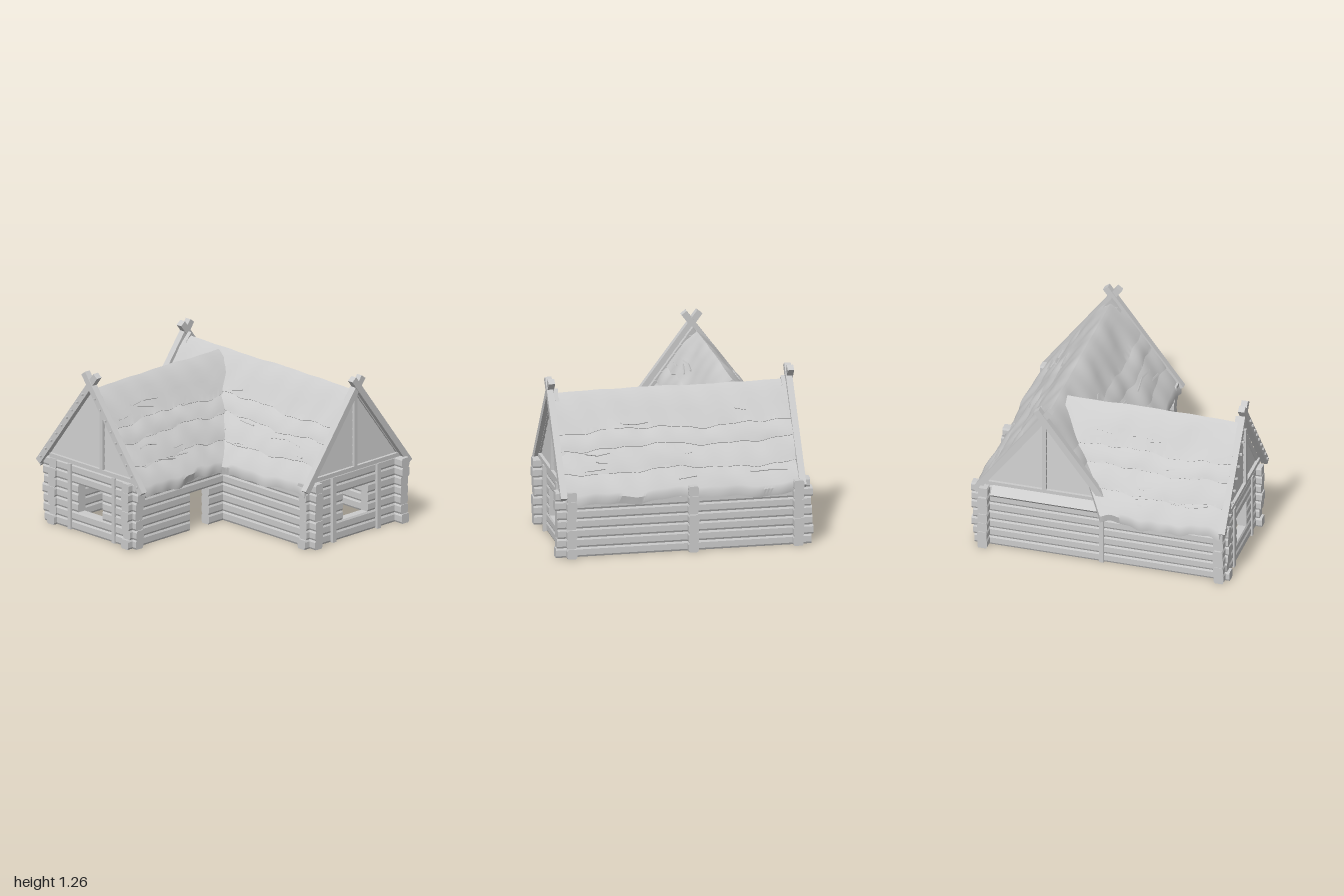
import * as THREE from 'three';
import { toCreasedNormals } from 'three/addons/utils/BufferGeometryUtils.js';

const mat = new THREE.MeshStandardMaterial({ color: 0xcccccc });
const matTwo = new THREE.MeshStandardMaterial({ color: 0xcccccc, side: THREE.DoubleSide });

let seed = 7;
const rnd = () => (seed = (seed * 16807) % 2147483647) / 2147483647;
const wave = (u, k) => 0.5 * Math.sin(u * 6.1 + k * 2.3) + 0.3 * Math.sin(u * 13.7 + k * 4.1) + 0.2 * Math.sin(u * 29 + k * 1.7);

function box(parent, name, w, h, d, x, y, z, rz = 0) {
  const m = new THREE.Mesh(new THREE.BoxGeometry(w, h, d), mat);
  m.name = name;
  m.position.set(x, y, z);
  m.rotation.z = rz;
  parent.add(m);
  return m;
}

// Chamfered log running along +z from z0 to z1
const COURSES = 7, LOG = 0.5 / COURSES;
function logGeometry(z0, z1) {
  const a = 0.037, b = LOG / 2, c = 0.007, d = 0.014;
  const s = new THREE.Shape([[-a, -b + d], [-a + c, -b], [a - c, -b], [a, -b + d], [a, b - d], [a - c, b], [-a + c, b], [-a, b - d]]
    .map(p => new THREE.Vector2(...p)));
  return new THREE.ExtrudeGeometry(s, { depth: z1 - z0, bevelEnabled: false }).translate(0, 0, z0);
}

// Stack of logs along z (or along x); each opening is {a, b, from, to} with from/to as courses
function logWall(name, alongX, at, start, end, openings = []) {
  const g = new THREE.Group();
  g.name = name;
  for (let i = 0; i < COURSES; i++) {
    const cuts = openings.filter(o => i >= o.from && i < o.to).flatMap(o => [o.a, o.b]);
    const ends = [start - 0.03 * rnd(), ...cuts, end + 0.03 * rnd()];
    for (let k = 0; k < ends.length; k += 2) {
      const m = new THREE.Mesh(logGeometry(ends[k], ends[k + 1]), mat);
      m.name = 'log';
      if (alongX) m.rotation.y = Math.PI / 2;
      const y = (i + 0.5) * LOG;
      alongX ? m.position.set(0, y, at) : m.position.set(at, y, 0);
      g.add(m);
    }
  }
  return g;
}

// Thatched roof with a soft ridge along z, in ragged overlapping layers
const HALF = 0.515, RIDGE = 1.13, DROP = 0.68, TILT = Math.atan2(DROP, HALF);
const NX = Math.sin(TILT), NY = Math.cos(TILT);
const LAYERS = [0, 0.4, 0.56, 0.78, 1];
function slopePoint(side, s, h) {
  const soft = Math.max(0, 1 - s / 0.16) ** 2;
  return [side * (HALF * s + NX * h * Math.min(1, s * 8)), RIDGE - DROP * s + NY * h - 0.024 * soft];
}
function roof(name, u0, u1, valley) {
  const g = new THREE.Group();
  g.name = name;
  const startAt = s => u0 + valley * Math.max(0, (Math.min(s, 1) - 0.15) / 0.85);
  const N = 72, pos = [], idx = [];
  const halfRows = [];
  for (let k = 0; k < 4; k++)
    for (const t of [0, 0.06, 0.14, 0.35, 0.6, 0.85, 1]) halfRows.push([k, t]);
  const rows = [...halfRows.map(([k, t]) => [-1, k, t]).reverse(), ...halfRows.slice(1).map(([k, t]) => [1, k, t])];
  const R = rows.length, L = R * 2;
  for (let j = 0; j <= N; j++) {
    const top = [], under = [];
    for (const [side, k, t] of rows) {
      const q = u0 + (u1 - u0) * j / N;
      const edge = n => n === 0 ? 0 : LAYERS[n] + 0.03 * wave(q, n * 3 + side);
      const s = edge(k) + (edge(k + 1) - edge(k)) * t;
      const from = startAt(s);
      const u = from + (u1 - from) * j / N;
      const h = (k === 0 ? 0.012 : 0.004 + 0.012 * Math.sin(t * 2.4)) + 0.012 * wave(u * 0.9, s === 0 ? 0 : s * 4 + side * s);
      top.push([...slopePoint(side, s, h), u]);
      under.push([...slopePoint(side, s * 1.045, -0.024), u]);
    }
    for (const p of [...top, ...under.reverse()]) pos.push(...p);
  }
  const quad = (a, b, c, d) => idx.push(a, b, c, a, c, d);
  for (let j = 0; j < N; j++)
    for (let i = 0; i < L; i++) {
      const n = (i + 1) % L;
      quad(j * L + i, (j + 1) * L + i, (j + 1) * L + n, j * L + n);
    }
  for (let i = 0; i < R - 1; i++) {
    quad(i, i + 1, L - 2 - i, L - 1 - i);
    const o = N * L;
    quad(o + i, o + L - 1 - i, o + L - 2 - i, o + i + 1);
  }
  let geo = new THREE.BufferGeometry();
  geo.setAttribute('position', new THREE.Float32BufferAttribute(pos, 3));
  geo.setIndex(idx);
  geo = toCreasedNormals(geo, 0.8);
  const thatch = new THREE.Mesh(geo, matTwo);
  thatch.name = 'thatch';
  g.add(thatch);
  // Loose splinters lying on the slopes, some bent into a shallow V
  for (const side of [-1, 1])
    for (let i = 0; i < 9; i++) {
      const s = 0.22 + 0.65 * rnd(), from = startAt(s) + 0.2;
      const u = from + (u1 - 0.2 - from) * rnd();
      const len = 0.08 + 0.08 * rnd(), yaw = (rnd() - 0.5) * 0.5;
      for (const arm of i % 3 ? [1] : [-1, 1]) {
        const [x, y] = slopePoint(side, s, 0.016);
        const m = box(g, 'splinter', 0.011, 0.012, len, x, y, u + arm * len * 0.48);
        m.rotation.set(0, yaw * arm, -side * TILT, 'ZYX');
      }
    }
  return g;
}

// Gable end facing +z: siding, tie beam, post, crossed rafters
function gable(name, reach, len, postX, options = {}) {
  const g = new THREE.Group();
  g.name = name;
  const apex = 1.14, base = 0.5, rows = 10, step = (apex - base) / rows;
  const halfAt = y => (apex - y) * 0.74;
  for (let i = 0; i < rows; i++) {
    const y = base + i * step, a = halfAt(y), b = halfAt(y + step);
    const s = new THREE.Shape([[-a, 0], [a, 0], [b, step], [-b, step]].map(p => new THREE.Vector2(...p)));
    const m = new THREE.Mesh(new THREE.ExtrudeGeometry(s, { depth: 0.03, bevelEnabled: false }), mat);
    m.name = 'sidingBoard';
    m.position.set(0, y, -0.01);
    m.rotation.x = -0.1;
    g.add(m);
  }
  box(g, 'tieBeam', 0.88, 0.03, 0.04, 0, 0.515, 0.02);
  const postTop = 1.1 - Math.abs(postX) * 1.33;
  box(g, 'gablePost', 0.03, postTop - 0.52, 0.03, postX, (postTop + 0.52) / 2, 0.025);
  const ang = Math.atan2(0.8, 0.6);
  for (const side of [-1, 1]) {
    const at = d => [side * (reach - 0.6 * d), 0.45 + 0.8 * d];
    const [x, y] = at(len / 2);
    box(g, 'rafter', len, 0.048, 0.048, x, y, 0.045 + side * 0.003, Math.PI / 2 + side * (Math.PI / 2 - ang));
    if (options.pegs)
      for (let i = 0; i < 9; i++) {
        const [px, py] = at(0.06 + i * 0.09);
        box(g, 'peg', 0.014, 0.014, 0.03, px, py, 0.07);
      }
    if (options.wallPosts) box(g, 'wallPost', 0.032, 0.5, 0.03, side * 0.227, 0.25, 0.034);
  }
  return g;
}

export function createModel() {
  const model = new THREE.Group();
  model.name = 'logCabin';
  const win = (a, b) => [{ a, b, from: 2, to: 5 }];

  // Log walls crossing at the corners
  model.add(
    logWall('outerSideWall', false, -0.82, -0.965, 0.94),
    logWall('innerSideWall', false, -0.04, -0.965, 0.96,
      [{ a: -0.24, b: -0.08, from: 1, to: 5 }, { a: 0.16, b: 0.35, from: 0, to: 4 }]),
    logWall('gableSideWall', false, 0.86, -0.945, 0.04, win(-0.575, -0.32)),
    logWall('frontWall', true, 0.9, -0.91, 0.025, win(-0.565, -0.315)),
    logWall('courtyardWall', true, -0.02, -0.09, 0.945),
    logWall('backWall', true, -0.885, -0.91, 0.95)
  );
  box(model, 'sidePost', 0.03, 0.46, 0.035, -0.855, 0.23, 0);

  // Two thatched roofs meeting at a valley
  const frontRoof = roof('frontWingRoof', -0.38, 0.925, 0.4);
  frontRoof.position.x = -0.45;
  const backRoof = roof('backWingRoof', -0.85, 0.905, 0);
  backRoof.rotation.y = Math.PI / 2;
  backRoof.position.z = -0.44;
  model.add(frontRoof, backRoof);
  box(model, 'eaveApron', 0.1, 0.025, 0.86, -0.865, 0.475, -0.4, 0.7);

  // Gable ends
  const front = gable('frontGable', 0.535, 0.99, 0.095, { pegs: true, wallPosts: true });
  front.position.set(-0.42, 0, 0.9);
  const left = gable('leftGable', 0.52, 0.95, 0, { wallPosts: true });
  left.rotation.y = Math.PI / 2;
  left.position.set(0.873, 0, -0.44);
  const right = gable('rightGable', 0.52, 0.95, 0);
  right.rotation.y = -Math.PI / 2;
  right.position.set(-0.81, 0, -0.44);
  model.add(front, left, right);
  return model;
}
